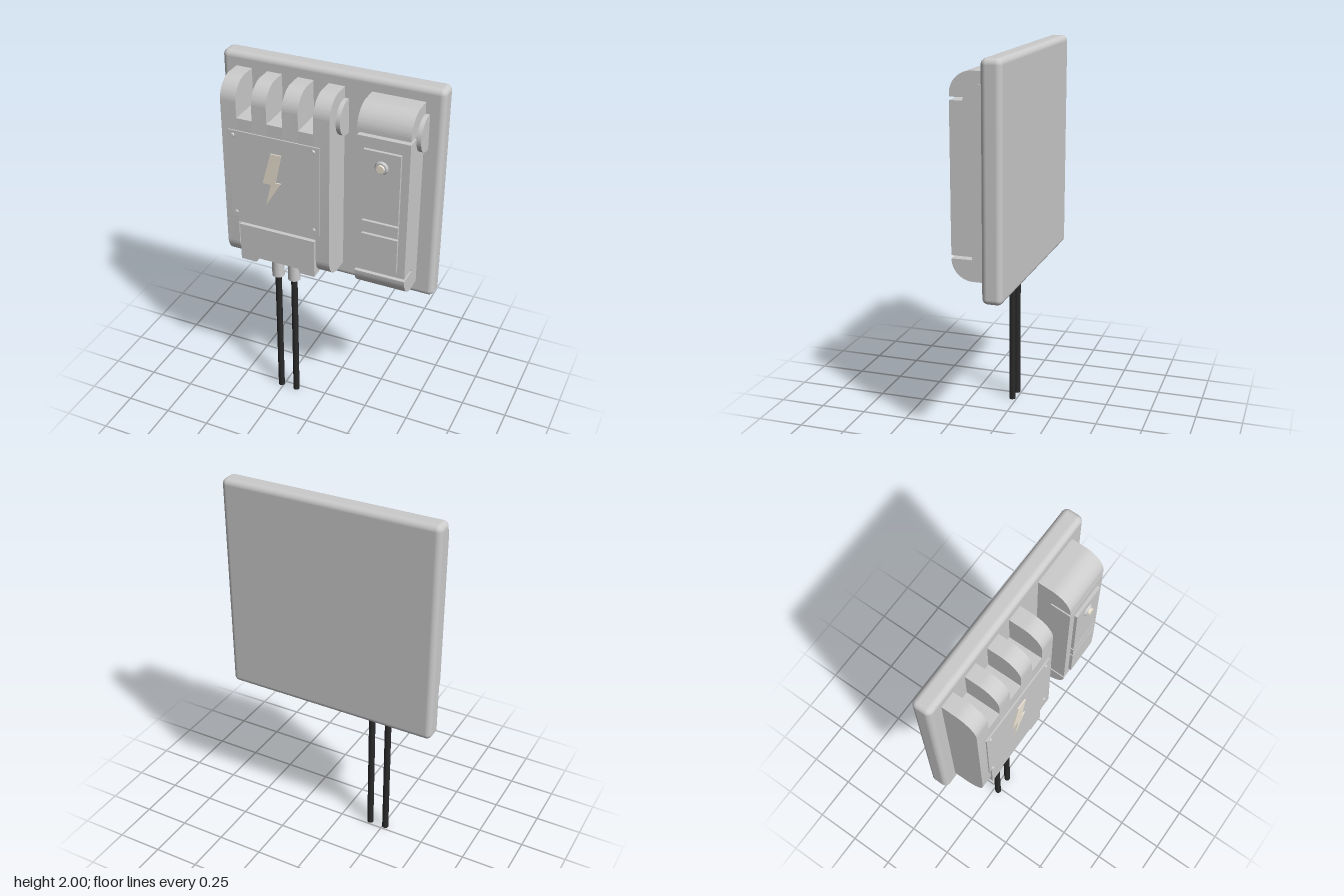
import * as THREE from 'three';
import { toCreasedNormals } from 'three/addons/utils/BufferGeometryUtils.js';
import { RoundedBoxGeometry } from 'three/addons/geometries/RoundedBoxGeometry.js';

const BACK = -0.06, FRONT = 0.126, TOP = 1.93, BOTTOM = 0.91, R = 0.11;

export function createModel() {
  const model = new THREE.Group();
  const grey = new THREE.MeshStandardMaterial({ color: 0xcccccc });
  const black = new THREE.MeshStandardMaterial({ color: 0x2a2a2a });
  const cream = new THREE.MeshStandardMaterial({ color: 0xeee6d6 });

  function add(name, geometry, material = grey, parent = model) {
    const mesh = new THREE.Mesh(geometry, material);
    mesh.name = name;
    parent.add(mesh);
    return mesh;
  }
  function group(name) {
    const g = new THREE.Group();
    g.name = name;
    model.add(g);
    return g;
  }
  // box given by its limits on each axis
  function box(name, x0, x1, y0, y1, z0, z1, parent) {
    const mesh = add(name, new THREE.BoxGeometry(x1 - x0, y1 - y0, z1 - z0), grey, parent);
    mesh.position.set((x0 + x1) / 2, (y0 + y1) / 2, (z0 + z1) / 2);
    return mesh;
  }
  // upright cylinder, or turned to face along x or z
  function cylinder(name, r, length, axis, x, y, z, material, parent, rTop = r) {
    const geometry = new THREE.CylinderGeometry(rTop, r, length, 32);
    if (axis === 'x') geometry.rotateZ(-Math.PI / 2);
    if (axis === 'z') geometry.rotateX(Math.PI / 2);
    const mesh = add(name, geometry, material, parent);
    mesh.position.set(x, y, z);
    return mesh;
  }
  // side profile (shape x is -z) extruded across x
  function section(name, x0, x1, parent, { y0 = null, y1 = null, grooves = [] } = {}) {
    const s = new THREE.Shape();
    s.moveTo(-BACK, y0 ?? BOTTOM);
    s.lineTo(-BACK, y1 ?? TOP);
    if (y1 === null) {
      s.lineTo(-FRONT + R, TOP);
      s.absarc(-FRONT + R, TOP - R, R, Math.PI / 2, Math.PI, false);
    } else s.lineTo(-FRONT, y1);
    for (const y of grooves) {
      s.lineTo(-FRONT, y + 0.008);
      s.lineTo(-0.02, y + 0.008);
      s.lineTo(-0.02, y - 0.008);
      s.lineTo(-FRONT, y - 0.008);
    }
    if (y0 === null) {
      s.lineTo(-FRONT, BOTTOM + R);
      s.absarc(-FRONT + R, BOTTOM + R, R, Math.PI, Math.PI * 1.5, false);
    } else s.lineTo(-FRONT, y0);
    s.closePath();
    const geometry = new THREE.ExtrudeGeometry(s, { depth: x1 - x0, bevelEnabled: false, curveSegments: 14 });
    geometry.rotateY(Math.PI / 2);
    geometry.translate(x0, 0, 0);
    return add(name, toCreasedNormals(geometry, 0.5), grey, parent);
  }

  // backing board
  add('backBoard', new RoundedBoxGeometry(1.17, 1.17, 0.105, 4, 0.03)).position.set(0, 1.415, -0.108);

  // wide housing: four fins, slots between them and two legs
  const housing = group('wideHousing');
  section('leftLeg', -0.505, -0.435, housing);
  section('rightLeg', 0.005, 0.08, housing);
  for (const [x0, x1] of [[-0.435, -0.42], [-0.335, -0.255], [-0.17, -0.085], [-0.005, 0.005]])
    section('fin', x0, x1, housing, { y0: 1.14 });
  for (const [x0, x1] of [[-0.42, -0.335], [-0.255, -0.17], [-0.085, -0.005]])
    section('slotFloor', x0, x1, housing, { y0: 1.14, y1: 1.74 });
  box('recessBack', -0.435, 0.005, 0.95, 1.14, BACK, 0.1, housing);

  // lower cover, cut away where the cables enter
  const cover = new THREE.Shape([
    [-0.428, 0.91], [-0.34, 0.91], [-0.33, 0.936], [-0.095, 0.936], [-0.085, 0.91],
    [-0.002, 0.91], [-0.002, 1.127], [-0.428, 1.127],
  ].map(([x, y]) => new THREE.Vector2(x, y)));
  add('lowerCover', new THREE.ExtrudeGeometry(cover, { depth: 0.13 - BACK, bevelEnabled: false }),
    grey, housing).position.z = BACK;

  // front plate with corner screws and a warning bolt
  box('frontPlate', -0.46, 0.035, 1.18, 1.68, 0.136, 0.143, housing);
  for (const x of [-0.435, 0.003])
    for (const y of [1.21, 1.655])
      cylinder('screw', 0.011, 0.009, 'z', x, y, 0.147, grey, housing, 0.008);
  const bolt = new THREE.Shape([
    [-0.225, 1.597], [-0.273, 1.422], [-0.228, 1.422], [-0.258, 1.295],
    [-0.172, 1.438], [-0.202, 1.438], [-0.167, 1.597],
  ].map(([x, y]) => new THREE.Vector2(x, y)));
  add('warningBolt', new THREE.ExtrudeGeometry(bolt, { depth: 0.006, bevelEnabled: false }),
    cream, housing).position.z = 0.146;

  // narrow housing with two grooves, raised panels and a push button
  const narrow = group('narrowHousing');
  section('narrowBody', 0.22, 0.49, narrow, { grooves: [1.798, 1.028] });
  for (const [y0, y1] of [[1.35, 1.73], [1.275, 1.338], [1.07, 1.263]])
    box('raisedPanel', 0.26, 0.45, y0, y1, 0.12, 0.142, narrow);
  cylinder('buttonRing', 0.035, 0.01, 'z', 0.355, 1.65, 0.147, grey, narrow, 0.028);
  cylinder('button', 0.022, 0.018, 'z', 0.355, 1.65, 0.153, cream, narrow, 0.019);

  // hinge discs on the side of each housing
  for (const x of [0.08, 0.49])
    cylinder('hingeDisc', 0.092, 0.045, 'x', x, 1.78, -0.038, grey, model);

  // cables with their sleeves
  for (const x of [-0.265, -0.17]) {
    cylinder('cable', 0.0175, 0.95, 'y', x, 0.475, 0.025, black, model);
    cylinder('cableSleeve', 0.034, 0.125, 'y', x, 0.847, 0.025, grey, model);
  }
  return model;
}
